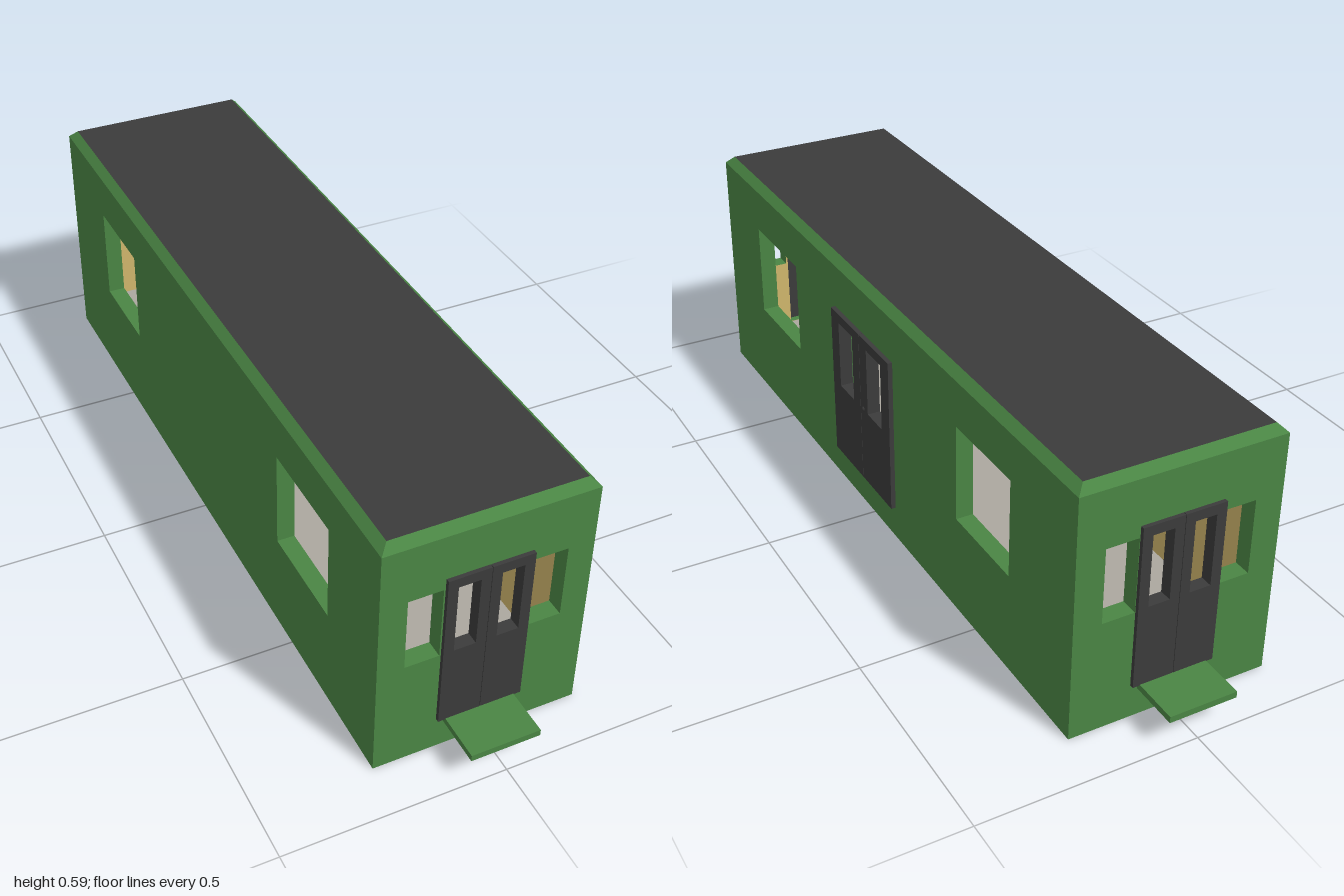
import * as THREE from 'three';

const HALF_W = 0.2355, HALF_L = 0.885, EAVE = 0.572, TOP = 0.591;
const FLOOR = 0.082, CEILING = 0.55, WALL = 0.04, BEVEL = 0.019;

const paint = (name, color) => {
  const m = new THREE.MeshStandardMaterial({ color, side: THREE.DoubleSide });
  m.name = name;
  return m;
};

// rectangle path; hole rectangles are [x0, x1, y0, y1]
function rect(P, [x0, x1, y0, y1]) {
  const p = new P();
  p.moveTo(x0, y0).lineTo(x1, y0).lineTo(x1, y1).lineTo(x0, y1).closePath();
  return p;
}
function panel(outline, holes) {
  const s = rect(THREE.Shape, outline);
  s.holes = holes.map((h) => rect(THREE.Path, h));
  return s;
}

export function createModel() {
  const green = paint('green paint', 0x4a8544);
  const dark = paint('dark grey', 0x3b3b3b);
  const tan = paint('tan lining', 0xd0b66c);
  const grey = paint('light grey floor', 0xaba79f);

  const root = new THREE.Group();
  root.name = 'railCar';
  const car = new THREE.Group();
  car.name = 'carBody';
  car.position.x = -0.0075;
  root.add(car);

  const add = (parent, name, geo, mat, x = 0, y = 0, z = 0) => {
    const m = new THREE.Mesh(geo, mat);
    m.name = name;
    m.position.set(x, y, z);
    parent.add(m);
    return m;
  };

  // open square tube lining an opening through the wall
  function reveal([x0, x1, y0, y1]) {
    const g = new THREE.CylinderGeometry(Math.SQRT1_2, Math.SQRT1_2, 1, 4, 1, true)
      .rotateY(Math.PI / 4).rotateX(Math.PI / 2).toNonIndexed();
    g.scale(x1 - x0, y1 - y0, WALL);
    // faces look into the opening
    const p = g.attributes.position;
    for (let i = 0; i < p.count; i += 3) {
      const a = new THREE.Vector3().fromBufferAttribute(p, i);
      const b = new THREE.Vector3().fromBufferAttribute(p, i + 1);
      p.setXYZ(i, b.x, b.y, b.z);
      p.setXYZ(i + 1, a.x, a.y, a.z);
    }
    g.computeVertexNormals();
    return g.translate((x0 + x1) / 2, (y0 + y1) / 2, -WALL / 2);
  }

  // outer skin, inner lining and window frames; local +z points outward
  function wall(name, half, holes, turn, distance) {
    const g = new THREE.Group();
    g.name = name;
    g.rotation.y = turn;
    g.position.set(Math.sin(turn) * distance, 0, Math.cos(turn) * distance);
    car.add(g);
    add(g, name + 'Skin', new THREE.ShapeGeometry(panel([-half, half, 0, EAVE], holes)), green);
    const inner = half - WALL;
    const lining = new THREE.ShapeGeometry(
      panel([-inner, inner, FLOOR - 0.004, CEILING], holes.map(([a, b, c, d]) => [a, b, Math.max(c, FLOOR), d])));
    add(g, name + 'Lining', lining, tan, 0, 0, -WALL);
    holes.forEach((h) => add(g, 'openingFrame', reveal(h), green));
    return g;
  }

  // pair of door leaves, each with a window
  function doors(parent, centre, half, winIn, winOut, proud) {
    const g = new THREE.Group();
    g.name = 'doubleDoor';
    g.position.x = centre;
    parent.add(g);
    for (const s of [-1, 1]) {
      const span = (a, b, y0, y1) => [Math.min(s * a, s * b), Math.max(s * a, s * b), y0, y1];
      const shape = panel(span(0.0007, half, 0.081, 0.465), [span(winIn, winOut, 0.274, 0.442)]);
      const geo = new THREE.ExtrudeGeometry(shape, { depth: proud + 0.02, bevelEnabled: false });
      add(g, 'doorLeaf', geo, dark, 0, 0, -0.02);
    }
    return g;
  }

  // end walls with doors and steps
  for (const [name, turn, a, b] of [['frontWall', 0, 0.099, 0.1755], ['backWall', Math.PI, 0.0965, 0.171]]) {
    const end = wall(name, HALF_W, [
      [-b, -a, 0.263, 0.438], [a, b, 0.263, 0.438], [-0.094, 0.094, 0.083, 0.463],
    ], turn, HALF_L);
    doors(end, 0, 0.0955, 0.0232, 0.0725, 0.009);
    add(end, 'step', new THREE.BoxGeometry(0.158, 0.015, 0.115), green, 0, 0.0755, 0.0575);
  }

  // side walls, the right one with a door
  const right = wall('doorSideWall', HALF_L, [
    [-0.67, -0.425, 0.235, 0.465], [0.415, 0.64, 0.235, 0.465], [-0.188, 0.113, 0.083, 0.463],
  ], Math.PI / 2, HALF_W);
  const sideDoor = doors(right, -0.0375, 0.1525, 0.0375, 0.112, 0.011);
  add(sideDoor, 'doorHandle', new THREE.SphereGeometry(0.007, 12, 8), dark, 0.015, 0.277, 0.008);
  wall('plainSideWall', HALF_L, [
    [-0.64, -0.415, 0.235, 0.465], [0.425, 0.67, 0.235, 0.465],
  ], -Math.PI / 2, HALF_W);

  // floor and ceiling
  const deck = new THREE.PlaneGeometry(2 * (HALF_W - WALL), 2 * (HALF_L - WALL)).rotateX(-Math.PI / 2);
  add(car, 'floor', deck, grey, 0, FLOOR, 0);
  add(car, 'ceiling', deck.clone().rotateX(Math.PI), tan, 0, CEILING, 0);

  // roof with sloped green edges and a dark top
  const roof = new THREE.BoxGeometry(2 * HALF_W, TOP - EAVE, 2 * HALF_L).toNonIndexed();
  const p = roof.attributes.position;
  for (let i = 0; i < p.count; i++) {
    if (p.getY(i) > 0) {
      p.setX(i, p.getX(i) - Math.sign(p.getX(i)) * BEVEL);
      p.setZ(i, p.getZ(i) - Math.sign(p.getZ(i)) * BEVEL);
    }
  }
  roof.computeVertexNormals();
  roof.clearGroups();
  for (let f = 0; f < 6; f++) roof.addGroup(f * 6, 6, f === 2 ? 1 : 0);
  add(car, 'roof', roof, [green, dark], 0, (TOP + EAVE) / 2, 0);

  return root;
}
